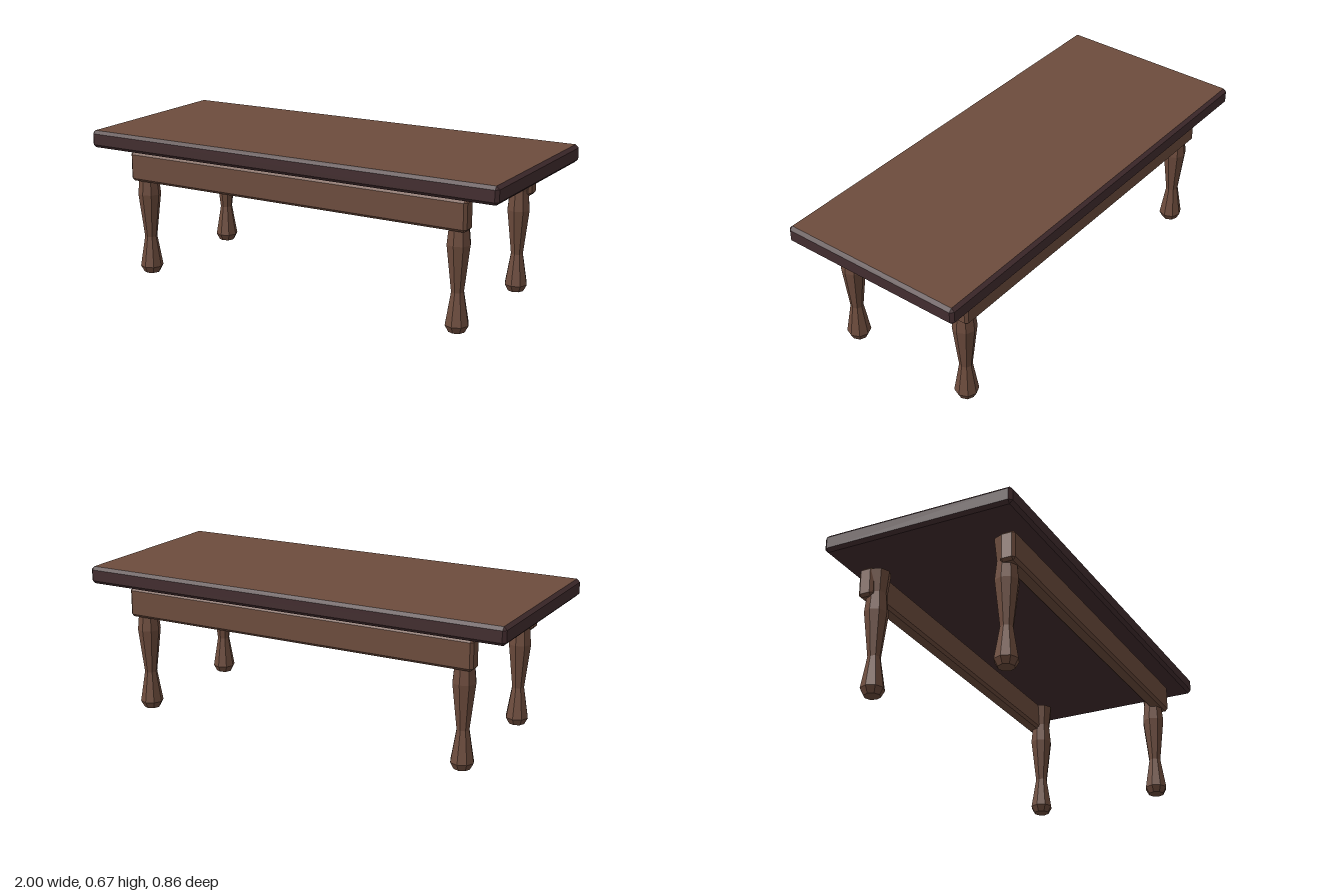
import * as THREE from 'three';
import { ConvexGeometry } from 'three/addons/geometries/ConvexGeometry.js';

const wood = new THREE.MeshStandardMaterial({ color: 0x6d4c3d });
wood.name = 'brown wood';
const darkWood = new THREE.MeshStandardMaterial({ color: 0x432d2f });
darkWood.name = 'dark edge wood';

// Box with every edge and corner cut by a flat chamfer c
function chamferBox(w, h, d, c) {
  const points = [];
  for (const x of [-1, 1]) for (const y of [-1, 1]) for (const z of [-1, 1]) {
    const [X, Y, Z] = [w / 2, h / 2, d / 2];
    points.push(
      new THREE.Vector3(x * X, y * (Y - c), z * (Z - c)),
      new THREE.Vector3(x * (X - c), y * Y, z * (Z - c)),
      new THREE.Vector3(x * (X - c), y * (Y - c), z * Z));
  }
  return new ConvexGeometry(points);
}

function addMesh(parent, name, geometry, material, x, y, z) {
  const mesh = new THREE.Mesh(geometry, material);
  mesh.name = name;
  mesh.position.set(x, y, z);
  parent.add(mesh);
  return mesh;
}

export function createModel() {
  const table = new THREE.Group();
  table.name = 'lowTable';

  // Tabletop: brown upper face, dark chamfers, sides and underside
  const topGeometry = chamferBox(2, 0.078, 0.864, 0.014);
  const normals = topGeometry.attributes.normal;
  for (let i = 0; i < normals.count; i += 3) {
    topGeometry.addGroup(i, 3, normals.getY(i) > 0.99 ? 0 : 1);
  }
  addMesh(table, 'tabletop', topGeometry, [wood, darkWood], 0, 0.626, 0);

  // Turned eight-sided leg, faceted
  const profile = [[0, 0], [0.036, 0], [0.052, 0.03], [0.028, 0.171],
    [0.052, 0.373], [0.043, 0.46], [0.055, 0.561], [0, 0.561]]
    .map(([r, y]) => new THREE.Vector2(r, y));
  const legGeometry = new THREE.LatheGeometry(profile, 8).toNonIndexed();
  legGeometry.computeVertexNormals();

  // Long rail joining the two legs on each side
  const railGeometry = chamferBox(1.674, 0.134, 0.069, 0.012);

  for (const [side, sz] of [['front', 1], ['back', -1]]) {
    addMesh(table, side + 'Rail', railGeometry, wood, 0, 0.505, sz * 0.329);
    for (const [hand, sx] of [['Left', 1], ['Right', -1]]) {
      addMesh(table, side + hand + 'Leg', legGeometry, wood, sx * 0.78, 0, sz * 0.303);
    }
  }
  return table;
}
